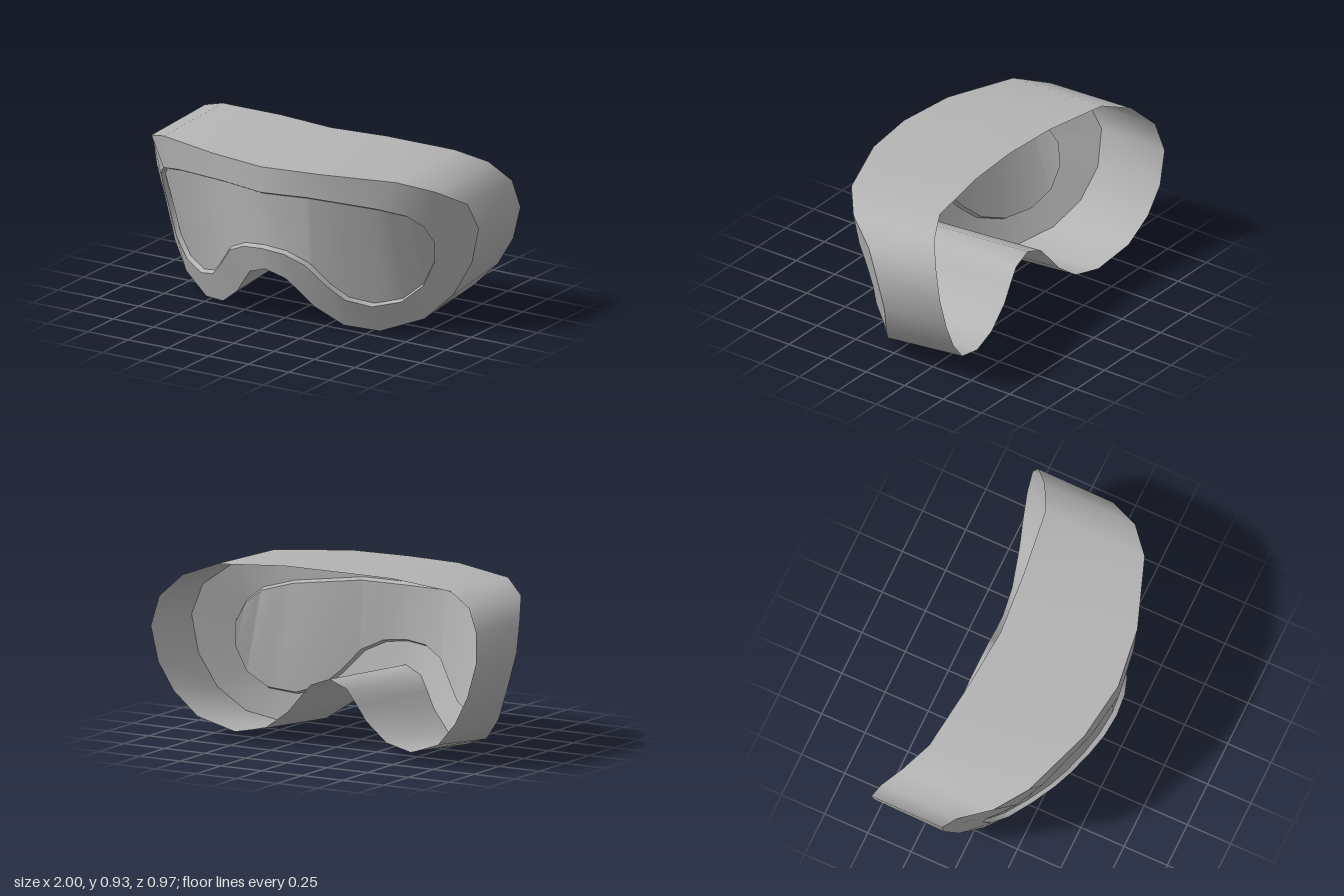
import * as THREE from 'three';

// Half outlines [x, y, z], from top centre round the left side to the nose
const FRONT = [
  [0, 0.9, 0.483], [0.33, 0.905, 0.44], [0.72, 0.89, 0.3], [0.88, 0.83, 0.17], [0.975, 0.73, 0],
  [1, 0.58, -0.07], [0.95, 0.38, -0.083], [0.865, 0.2, -0.033], [0.74, 0.07, 0.05], [0.54, 0, 0.17],
  [0.375, 0.03, 0.265], [0.24, 0.13, 0.34], [0.175, 0.21, 0.38], [0.11, 0.285, 0.42], [0, 0.325, 0.445],
];
const BACK = [
  [0, 0.925, -0.2], [0.33, 0.93, -0.225], [0.72, 0.91, -0.275], [0.88, 0.85, -0.355], [0.975, 0.74, -0.437],
  [1, 0.585, -0.48], [0.95, 0.4, -0.487], [0.865, 0.25, -0.47], [0.74, 0.12, -0.435], [0.54, 0.05, -0.385],
  [0.375, 0.08, -0.36], [0.24, 0.18, -0.345], [0.175, 0.26, -0.335], [0.11, 0.335, -0.326], [0, 0.375, -0.32],
];
const OPENING = [
  [0, 0.76, 0.487], [0.26, 0.767, 0.45], [0.61, 0.733, 0.33], [0.755, 0.695, 0.25], [0.815, 0.63, 0.18],
  [0.84, 0.525, 0.11], [0.82, 0.4, 0.085], [0.765, 0.27, 0.105], [0.665, 0.18, 0.16], [0.53, 0.15, 0.235],
  [0.41, 0.187, 0.31], [0.33, 0.265, 0.365], [0.235, 0.38, 0.425], [0.125, 0.433, 0.462], [0, 0.446, 0.475],
];

const mirror = (half) => [...half, ...half.slice(1, -1).reverse().map(([x, y, z]) => [-x, y, z])];

// Smooth skin between two matching rows of points
function loft(a, b, closed = true) {
  const n = a.length, index = [];
  for (let i = 0; i < (closed ? n : n - 1); i++) {
    const j = (i + 1) % n;
    index.push(i, j, n + i, j, n + j, n + i);
  }
  const g = new THREE.BufferGeometry();
  g.setAttribute('position', new THREE.Float32BufferAttribute([...a, ...b].flat(), 3));
  g.setIndex(index);
  g.computeVertexNormals();
  return g;
}

// Closed loop moved inward and back, where the lens meets the frame
function inset(loop, amount, depth) {
  const n = loop.length;
  return loop.map(([x, y, z], i) => {
    const p = loop[(i + n - 1) % n], q = loop[(i + 1) % n];
    const dx = q[0] - p[0], dy = q[1] - p[1], len = Math.hypot(dx, dy);
    return [x + (dy / len) * amount, y - (dx / len) * amount, z - depth];
  });
}

// Point at a given x on a row sorted by x
function pointAt(row, x) {
  let i = 0;
  while (i < row.length - 2 && row[i + 1][0] < x) i++;
  const p = row[i], q = row[i + 1];
  const t = THREE.MathUtils.clamp((x - p[0]) / (q[0] - p[0]), 0, 1);
  return p.map((v, k) => v + (q[k] - v) * t);
}

export function createModel() {
  const group = new THREE.Group();
  const grey = new THREE.MeshStandardMaterial({ color: 0xb4b4b4, side: THREE.DoubleSide });
  grey.name = 'grey';
  const add = (name, geometry) => {
    const mesh = new THREE.Mesh(geometry, grey);
    mesh.name = name;
    group.add(mesh);
  };

  const front = mirror(FRONT), back = mirror(BACK), opening = mirror(OPENING);
  const rim = inset(opening, 0.013, 0.027);

  // Skirt, front frame and the step down to the lens
  add('skirt', loft(front, back));
  add('frontFrame', loft(opening, front));
  add('lensStep', loft(rim, opening));

  // Curved lens made of upright strips from its lower to its upper edge
  const upper = rim.slice(0, 6), lower = rim.slice(5, 15).reverse();
  const xs = [...new Set([...upper, ...lower].map((p) => Math.max(0, p[0])))].sort((a, b) => a - b);
  const row = (edge) => {
    const half = xs.map((x) => pointAt(edge, x));
    return [...half.slice(1).reverse().map(([x, y, z]) => [-x, y, z]), ...half];
  };
  add('lens', loft(row(lower), row(upper), false));

  return group;
}
